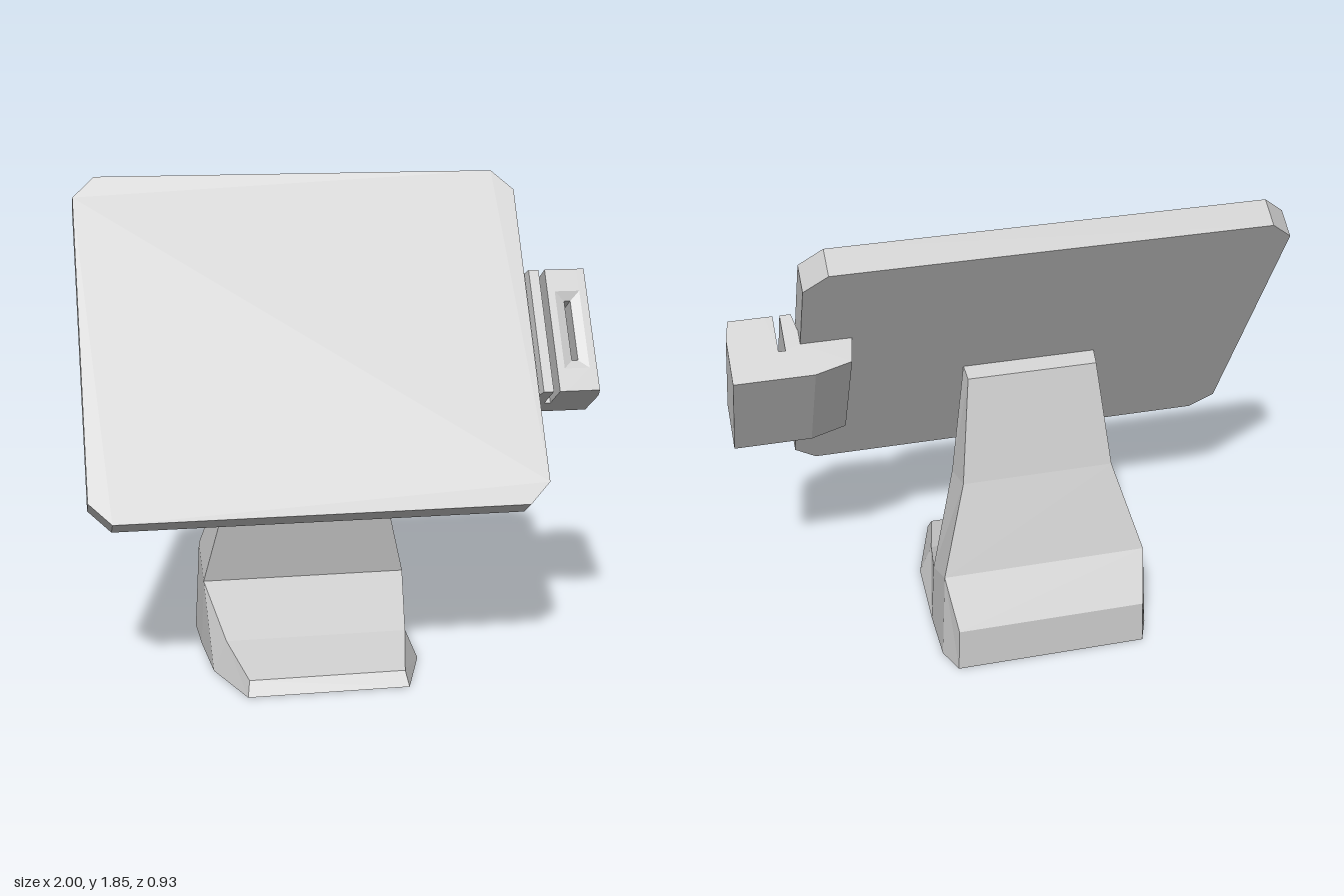
import * as THREE from 'three';

const material = new THREE.MeshStandardMaterial({ color: 0xcccccc, flatShading: true });

function part(name, geometry) {
  const mesh = new THREE.Mesh(geometry, material);
  mesh.name = name;
  return mesh;
}

// Joins cross-sections (counter-clockwise seen from the far end) and caps both ends
function loft(rings) {
  const pos = [];
  const quad = (a, b, c, d) => [a, b, c, a, c, d].forEach(p => pos.push(...p));
  for (let i = 0; i < rings.length - 1; i++) {
    for (let j = 0; j < 4; j++) {
      const k = (j + 1) % 4;
      quad(rings[i][j], rings[i][k], rings[i + 1][k], rings[i + 1][j]);
    }
  }
  quad(...[...rings[0]].reverse());
  quad(...rings[rings.length - 1]);
  const geometry = new THREE.BufferGeometry();
  geometry.setAttribute('position', new THREE.Float32BufferAttribute(pos, 3));
  geometry.computeVertexNormals();
  return geometry;
}

function extrude(points, depth) {
  const shape = new THREE.Shape(points.map(([x, y]) => new THREE.Vector2(x, y)));
  return new THREE.ExtrudeGeometry(shape, { depth, bevelEnabled: false }).translate(0, 0, -depth / 2);
}

function createStand() {
  const stand = new THREE.Group();
  stand.name = 'stand';
  stand.position.x = -0.137;

  // Wedge base, front to back: bottom z, bottom half width, top z, top y, top half width
  const base = [
    [0.465, 0.305, 0.43, 0.053, 0.295],
    [0.17, 0.4, 0.17, 0.117, 0.35],
    [-0.14, 0.415, -0.14, 0.26, 0.403],
    [-0.36, 0.417, -0.34, 0.36, 0.4],
    [-0.465, 0.375, -0.46, 0.18, 0.37],
  ].map(([zb, hb, zt, y, ht]) => [[-hb, 0, zb], [-ht, y, zt], [ht, y, zt], [hb, 0, zb]]);
  stand.add(part('standBase', loft(base)));

  // Tapering arm, upwards: front z, front y, front half width, back z, back y, back half width
  const arm = [
    [-0.14, 0.26, 0.403, -0.34, 0.36, 0.4],
    [-0.06, 0.66, 0.305, -0.215, 0.7, 0.295],
    [-0.055, 1.13, 0.255, -0.112, 1.105, 0.25],
  ].map(([zf, yf, hf, zb, yb, hb]) => [[-hf, yf, zf], [hf, yf, zf], [hb, yb, zb], [-hb, yb, zb]]);
  stand.add(part('standArm', loft(arm)));
  return stand;
}

function createHead() {
  const head = new THREE.Group();
  head.name = 'tiltedHead';
  head.position.set(0, 1.2225, -0.0475);
  head.rotation.x = -Math.PI / 6;

  // Screen slab with cut corners
  const w = 0.8725, h = 0.69, c = 0.085;
  const screen = part('screen', extrude([
    [-w + c, -h], [w - c, -h], [w, -h + c], [w, h - c],
    [w - c, h], [-w + c, h], [-w, h - c], [-w, -h + c],
  ], 0.11));
  screen.position.x = -0.1275;
  head.add(screen);

  // Card reader: plan outline (x, depth) with swipe slot and a notch for the insert
  const height = 0.505;
  const outline = [
    [0.76, 0.07], [0.8, 0.07], [0.8, -0.075], [0.825, -0.075], [0.825, 0.07],
    [0.855, 0.07], [0.855, -0.11], [0.955, -0.11], [0.955, 0.07],
    [0.985, 0.07], [1, 0], [1, -0.185], [0.71, -0.185], [0.575, -0.15],
    [0.56, -0.055], [0.745, -0.055], [0.745, 0],
  ].map(([x, z]) => [x, -z]);
  head.add(part('cardReader', extrude(outline, height).rotateX(-Math.PI / 2)));

  // Insert with a funnel-edged reading slot: half width, half height, depth
  const insert = part('readerSlot', loft([
    [0.05, height / 2, -0.11],
    [0.05, height / 2, 0.07],
    [0.05, 0.16, 0.07],
    [0.0125, 0.123, 0.055],
    [0.0125, 0.123, -0.11],
  ].map(([x, y, z]) => [[-x, -y, z], [x, -y, z], [x, y, z], [-x, y, z]])));
  insert.position.x = 0.905;
  head.add(insert);
  return head;
}

export function createModel() {
  const model = new THREE.Group();
  model.name = 'touchscreenTerminal';
  model.add(createStand(), createHead());
  return model;
}
